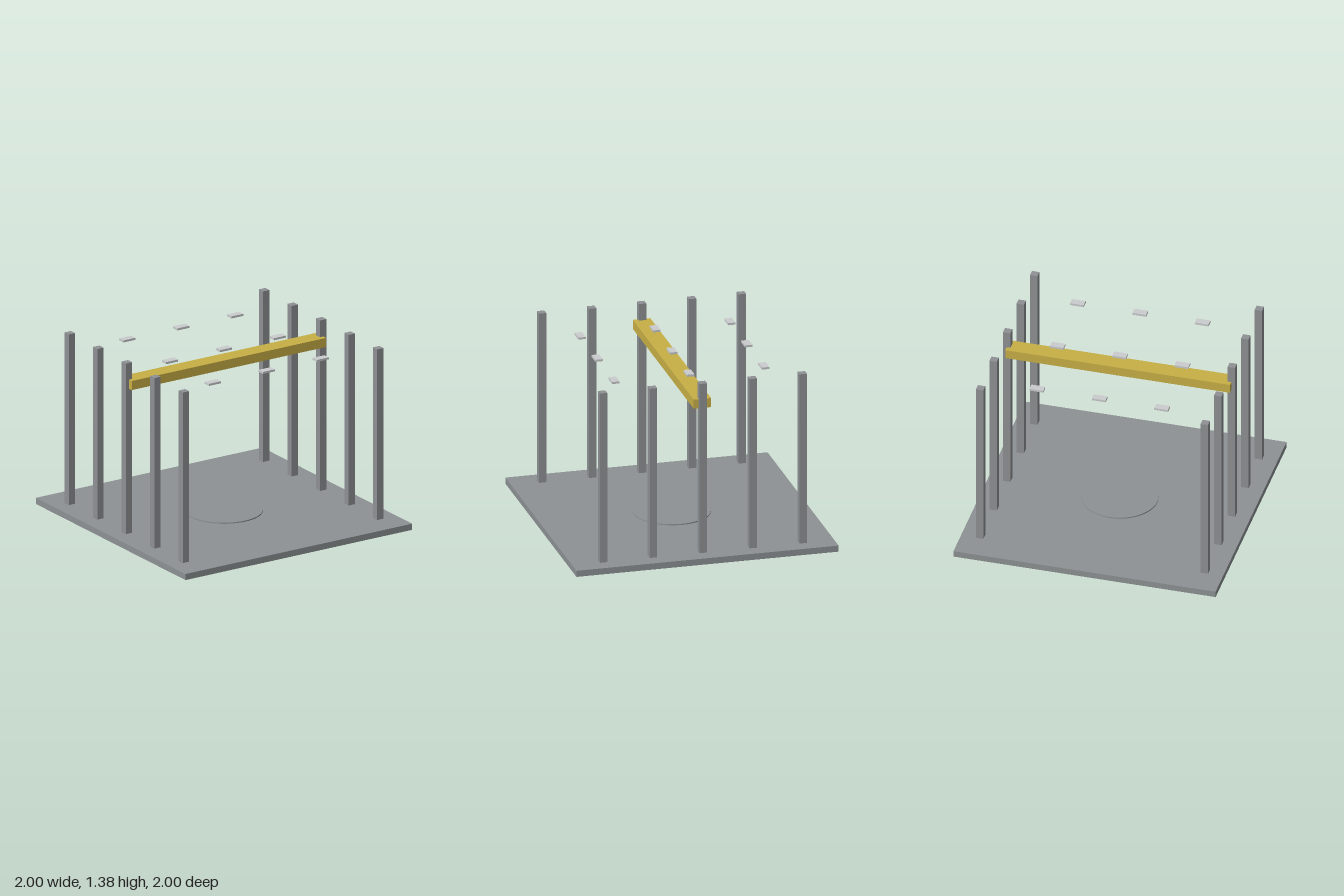
import * as THREE from 'three';

const material = (name, color) => {
  const m = new THREE.MeshStandardMaterial({ color });
  m.name = name;
  return m;
};

export function createModel() {
  const model = new THREE.Group();
  model.name = 'hall';
  const concrete = material('concrete grey', 0x8d9294);
  const steel = material('steel grey', 0x8e9194);
  const yellow = material('crane yellow', 0xc8b046);
  const lampWhite = material('lamp light grey', 0xcacccd);

  const add = (name, geometry, mat, x, y, z) => {
    const mesh = new THREE.Mesh(geometry, mat);
    mesh.name = name;
    mesh.position.set(x, y, z);
    model.add(mesh);
  };

  // Floor slab with a low round plinth in the middle
  add('floor', new THREE.BoxGeometry(2, 0.048, 2), concrete, 0, 0.024, 0);
  add('roundPlinth', new THREE.CylinderGeometry(0.286, 0.286, 0.01, 48), concrete, 0, 0.052, 0);

  // Two rows of five square columns
  const column = new THREE.BoxGeometry(0.057, 1.333, 0.057);
  for (const side of [-1, 1]) {
    for (let i = -2; i <= 2; i++) {
      add('column', column, steel, side * 0.857, 0.048 + 1.333 / 2, i * 0.381);
    }
  }

  // Crane beam spanning the middle pair of columns
  add('craneBeam', new THREE.BoxGeometry(1.714, 0.071, 0.133), yellow, 0, 1.215, 0);

  // Three by three grid of hanging lamps
  const lamp = new THREE.BoxGeometry(0.105, 0.016, 0.057);
  for (let i = -1; i <= 1; i++) {
    for (let j = -1; j <= 1; j++) {
      add('ceilingLamp', lamp, lampWhite, i * 0.476, 1.314, j * 0.571);
    }
  }
  return model;
}
